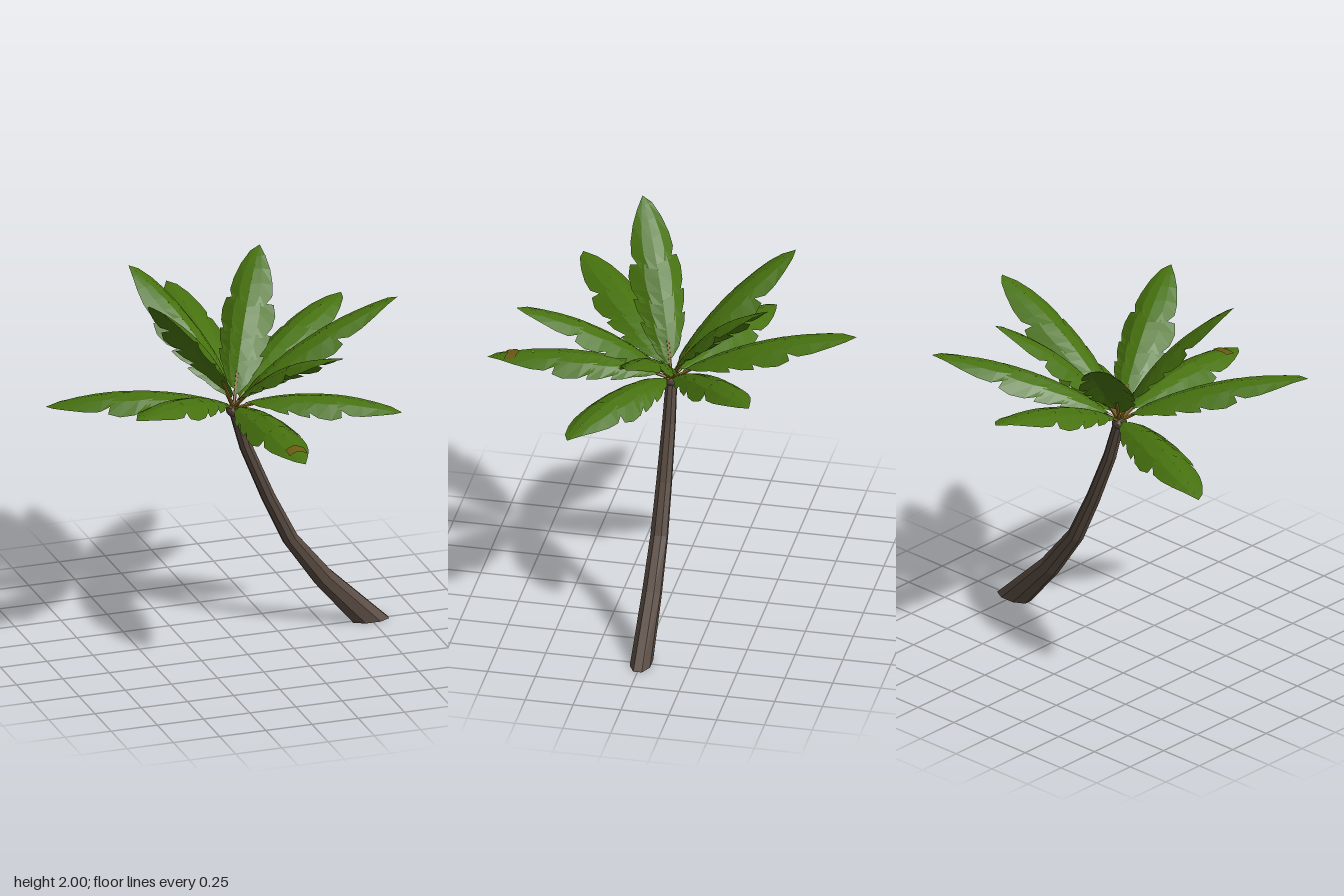
import * as THREE from 'three';

const mat = (name, color, side = THREE.FrontSide) => {
  const m = new THREE.MeshStandardMaterial({ color, side, flatShading: true });
  m.name = name;
  return m;
};

// Faceted surface from a grid of points (rows of equal length)
function surface(rows) {
  const pos = [];
  for (let i = 0; i < rows.length - 1; i++) {
    for (let j = 0; j < rows[i].length - 1; j++) {
      const a = rows[i][j], b = rows[i][j + 1], c = rows[i + 1][j + 1], d = rows[i + 1][j];
      for (const p of [a, b, c, a, c, d]) pos.push(p.x, p.y, p.z);
    }
  }
  const g = new THREE.BufferGeometry();
  g.setAttribute('position', new THREE.Float32BufferAttribute(pos, 3));
  g.computeVertexNormals();
  return g;
}

function mesh(name, geometry, material, parent) {
  const m = new THREE.Mesh(geometry, material);
  m.name = name;
  parent.add(m);
  return m;
}

// Frond tips [x, y, z, discoloured patch: 1 above, -1 below]
const TIPS = [
  [-0.02, 1.6, -0.96, 0], [0.35, 1.9, -0.57, 0], [0.79, 1.58, -0.57, -1],
  [0.88, 1.78, 0.05, -1], [0.79, 1.28, 0.38, 0], [0.34, 1.77, 0.74, -1],
  [0.07, 1.31, 0.95, 1], [-0.73, 1.53, 0.62, 0], [-0.54, 2.0, 0.27, 0],
  [-0.88, 1.25, -0.36, 0], [-0.36, 1.88, -0.57, 0],
];

// Leaf lobes from base to tip: rows of [position along the rib, half width]
const LOBES = [
  [[0.08, 0.015], [0.12, 0.06], [0.17, 0.082]],
  [[0.15, 0.065], [0.22, 0.105], [0.28, 0.12]],
  [[0.26, 0.09], [0.34, 0.125], [0.41, 0.135]],
  [[0.39, 0.105], [0.46, 0.135], [0.54, 0.14], [0.61, 0.125]],
  [[0.59, 0.085], [0.66, 0.112], [0.74, 0.104], [0.84, 0.078], [0.93, 0.042], [1, 0]],
];

const CROWN = new THREE.Vector3(0.01, 1.27, 0);

// Arched rib and a function giving points on the drooping blade around it
function frondFrame(x, y, z) {
  const tip = new THREE.Vector3(x, y, z);
  const chord = tip.clone().sub(CROWN).normalize();
  const side = new THREE.Vector3(chord.z, 0, -chord.x).normalize();
  const up = new THREE.Vector3().crossVectors(chord, side);
  const control = CROWN.clone().lerp(tip, 0.5).addScaledVector(up, 0.16);
  const rib = new THREE.QuadraticBezierCurve3(CROWN, control, tip);
  const at = (t, s, lift = 0) => {
    const u = Math.min(1, t + 0.35 * Math.abs(s));  // edges sweep toward the tip
    const normal = new THREE.Vector3().crossVectors(rib.getTangent(u), side);
    return rib.getPoint(u).addScaledVector(side, s).addScaledVector(normal, lift - 4 * s * s);
  };
  return { rib, at };
}

function buildFrond([x, y, z, patch], index, mats) {
  const frond = new THREE.Group();
  frond.name = 'frond' + (index + 1);
  const { rib, at } = frondFrame(x, y, z);

  // Two half blades with slightly staggered lobes
  for (const dir of [-1, 1]) {
    const stagger = dir * (index % 2 ? 0.015 : -0.015);
    LOBES.forEach((lobe, k) => {
      const rows = lobe.map(([t, w]) => {
        const tt = t === 1 ? 1 : t + stagger;
        return [0, 0.5, 1].map(f => at(tt, dir * w * f));
      });
      if (dir < 0) rows.forEach(r => r.reverse());
      mesh((dir < 0 ? 'right' : 'left') + 'Lobe' + (k + 1), surface(rows), mats.leaf, frond);
    });
  }

  // Stalk joining the blade to the crown
  const stalk = new THREE.QuadraticBezierCurve3(rib.getPoint(0), rib.getPoint(0.1), rib.getPoint(0.2));
  const stalkMesh = mesh('stalk', new THREE.TubeGeometry(stalk, 4, 0.009, 5), mats.stalk, frond);
  stalkMesh.position.y = -0.01;

  // Withered patch near the tip
  if (patch) {
    const rows = [0.83, 0.86, 0.89].map(t =>
      [-0.05, -0.025, 0, 0.025, 0.05].map(s => at(t, s, 0.006 * patch)));
    mesh('witheredPatch', surface(rows), mats.patch, frond);
  }
  return frond;
}

// Leaning trunk: rings [x, y, radius in the lean plane, radius in z, ring tilt]
function buildTrunk(material) {
  const rings = [
    [0.748, 0, 0.106, 0.057, 0], [0.495, 0.265, 0.057, 0.052, 0.72],
    [0.315, 0.505, 0.043, 0.047, 0.55], [0.195, 0.755, 0.037, 0.042, 0.45],
    [0.077, 1.04, 0.034, 0.036, 0.32], [0.014, 1.25, 0.029, 0.03, 0.2],
  ];
  const sides = 8;
  const ring = ([x, y, rx, rz, tilt]) => Array.from({ length: sides + 1 }, (_, j) => {
    const a = -((j % sides) + 0.5) / sides * Math.PI * 2;
    const c = Math.cos(a) * rx;
    return new THREE.Vector3(x + c * Math.cos(tilt), y + c * Math.sin(tilt), Math.sin(a) * rz);
  });
  const rows = rings.map(ring);
  rows.unshift(ring([0.748, 0, 0, 0, 0]));  // closed base
  return new THREE.Mesh(surface(rows), material);
}

export function createModel() {
  const tree = new THREE.Group();
  tree.name = 'palmTree';
  const mats = {
    leaf: mat('leafGreen', 0x47720f, THREE.DoubleSide),
    patch: mat('witheredBrown', 0x6b5a14, THREE.DoubleSide),
    stalk: mat('stalkTan', 0x86691e),
    bark: mat('barkBrown', 0x56483f),
    crown: mat('crownBrown', 0x4c3e37),
  };

  const trunk = buildTrunk(mats.bark);
  trunk.name = 'trunk';
  tree.add(trunk);

  // Knobbly crown at the top of the trunk
  const crown = mesh('crown', new THREE.IcosahedronGeometry(0.04, 1), mats.crown, tree);
  crown.position.set(0.01, 1.25, 0);
  crown.scale.y = 0.8;

  TIPS.forEach((tip, i) => tree.add(buildFrond(tip, i, mats)));
  return tree;
}
